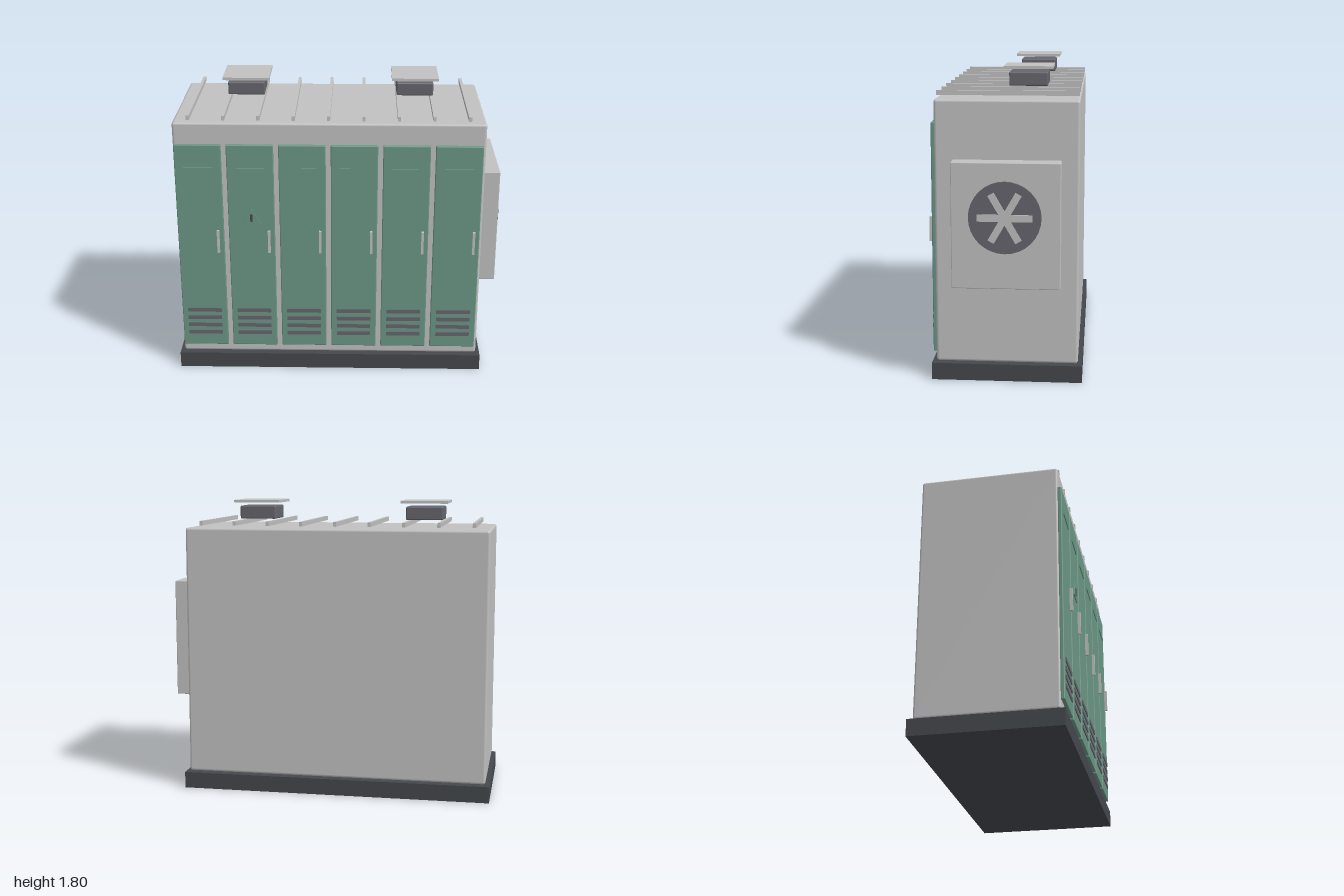
import * as THREE from 'three';
import { RoundedBoxGeometry } from 'three/addons/geometries/RoundedBoxGeometry.js';

export function createModel() {
  const group = new THREE.Group();
  group.name = 'equipmentCabinet';

  const material = (name, color) => {
    const m = new THREE.MeshStandardMaterial({ color });
    m.name = name;
    return m;
  };
  const shell = material('light grey shell', 0xbfc0bf);
  const green = material('green doors', 0x6a9786);
  const plinth = material('dark plinth', 0x44474c);
  const dark = material('dark grey trim', 0x65656c);

  const add = (name, geometry, mat, x, y, z, parent = group) => {
    const mesh = new THREE.Mesh(geometry, mat);
    mesh.name = name;
    mesh.position.set(x, y, z);
    parent.add(mesh);
    return mesh;
  };
  const box = (w, h, d) => new THREE.BoxGeometry(w, h, d);
  const rounded = (w, h, d, r) => new RoundedBoxGeometry(w, h, d, 2, r);

  // Plinth and main housing
  add('plinth', box(1.9, 0.1, 0.87), plinth, -0.05, 0.05, -0.005);
  add('housing', rounded(1.85, 1.525, 0.82, 0.015), shell, -0.05, 0.868, -0.005);

  // Six doors with handle, top slot and louvres
  for (let i = 0; i < 6; i++) {
    const door = new THREE.Group();
    door.name = 'door' + (i + 1);
    door.position.set(-0.83 + i * 0.31, 0, 0);
    group.add(door);
    add('doorPanel', rounded(0.28, 1.34, 0.025, 0.006), green, 0, 0.83, 0.4125, door);
    add('handle', box(0.015, 0.145, 0.018), shell, 0.105, 0.882, 0.434, door);
    add('topSlot', box(0.17, 0.016, 0.008), green, 0, 1.35, 0.427, door);
    for (let j = 0; j < 4; j++) {
      add('louvre', box(0.21, 0.025, 0.008), dark, 0, 0.252 + j * 0.052, 0.427, door);
    }
  }

  // Triangular warning plate on the second door
  const triangle = new THREE.Shape([[-0.06, -0.035], [0.06, -0.035], [0, 0.07]].map(p => new THREE.Vector2(...p)));
  add('warningPlate', new THREE.ExtrudeGeometry(triangle, { depth: 0.006, bevelEnabled: false }),
    green, -0.52, 1.03, 0.425);
  add('warningMark', box(0.013, 0.05, 0.004), plinth, -0.52, 1.037, 0.432);

  // Raised roof ribs
  for (let i = 0; i < 9; i++) {
    add('roofRib', box(0.018, 0.027, 0.81), shell, -0.88 + i * 0.2069, 1.659, -0.005);
  }

  // Roof ventilators with flat caps
  for (const x of [-0.568, 0.466]) {
    add('ventBody', rounded(0.225, 0.08, 0.225, 0.008), dark, x, 1.72, -0.108);
    add('ventCap', box(0.285, 0.016, 0.285), shell, x, 1.788, -0.108);
  }

  // Side cooling unit with round fan
  add('coolingUnit', rounded(0.105, 0.72, 0.615, 0.005), shell, 0.9275, 0.934, -0.007);
  const fan = new THREE.Group();
  fan.name = 'fan';
  fan.position.set(0.98, 0.985, -0.003);
  group.add(fan);
  const disc = add('fanDisc', new THREE.CylinderGeometry(0.205, 0.205, 0.02, 32), dark, 0.004, 0, 0, fan);
  disc.rotation.z = -Math.PI / 2;
  for (let i = 0; i < 3; i++) {
    const blade = add('fanBlade', box(0.008, 0.04, 0.312), shell, 0.016, 0, 0, fan);
    blade.rotation.x = i * Math.PI / 3;
  }

  return group;
}
